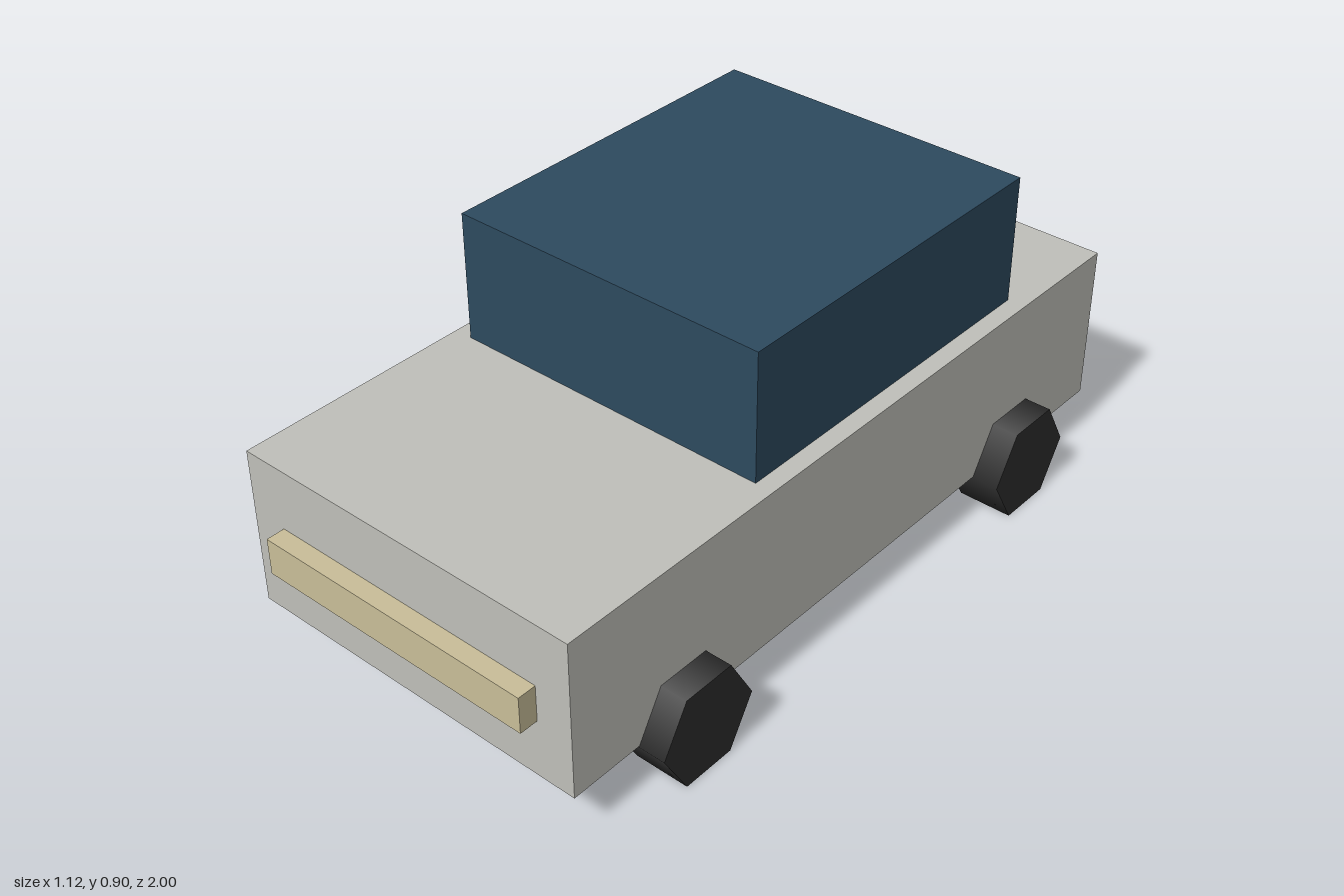
import * as THREE from 'three';

function material(name, color) {
  const m = new THREE.MeshStandardMaterial({ color });
  m.name = name;
  return m;
}

export function createModel() {
  const paint = material('bodyGrey', 0xc0c0ba);
  const glass = material('cabinBlue', 0x2d4a5f);
  const lamp = material('lampCream', 0xc9be99);
  const rubber = material('tyreBlack', 0x2d2d2d);

  const car = new THREE.Group();
  car.name = 'car';

  // Box given by its size and centre
  function addBox(name, mat, [w, h, d], [x, y, z]) {
    const mesh = new THREE.Mesh(new THREE.BoxGeometry(w, h, d), mat);
    mesh.name = name;
    mesh.position.set(x, y, z);
    car.add(mesh);
  }

  addBox('body', paint, [0.976, 0.425, 1.951], [0, 0.342, -0.0245]);
  addBox('cabin', glass, [0.878, 0.341, 0.976], [0, 0.725, -0.178]);
  addBox('frontLightBar', lamp, [0.78, 0.098, 0.098], [0, 0.337, 0.951]);

  // Six-sided wheels with a corner pointing forward and softly shaded treads
  const wheelGeometry = new THREE.CylinderGeometry(0.146, 0.146, 0.146, 6);
  wheelGeometry.rotateZ(Math.PI / 2);
  for (const [end, z] of [['front', 0.605], ['rear', -0.645]]) {
    for (const [side, x] of [['Left', 0.487], ['Right', -0.487]]) {
      const wheel = new THREE.Mesh(wheelGeometry, rubber);
      wheel.name = `${end}${side}Wheel`;
      wheel.position.set(x, 0.1268, z);
      car.add(wheel);
    }
  }
  return car;
}
